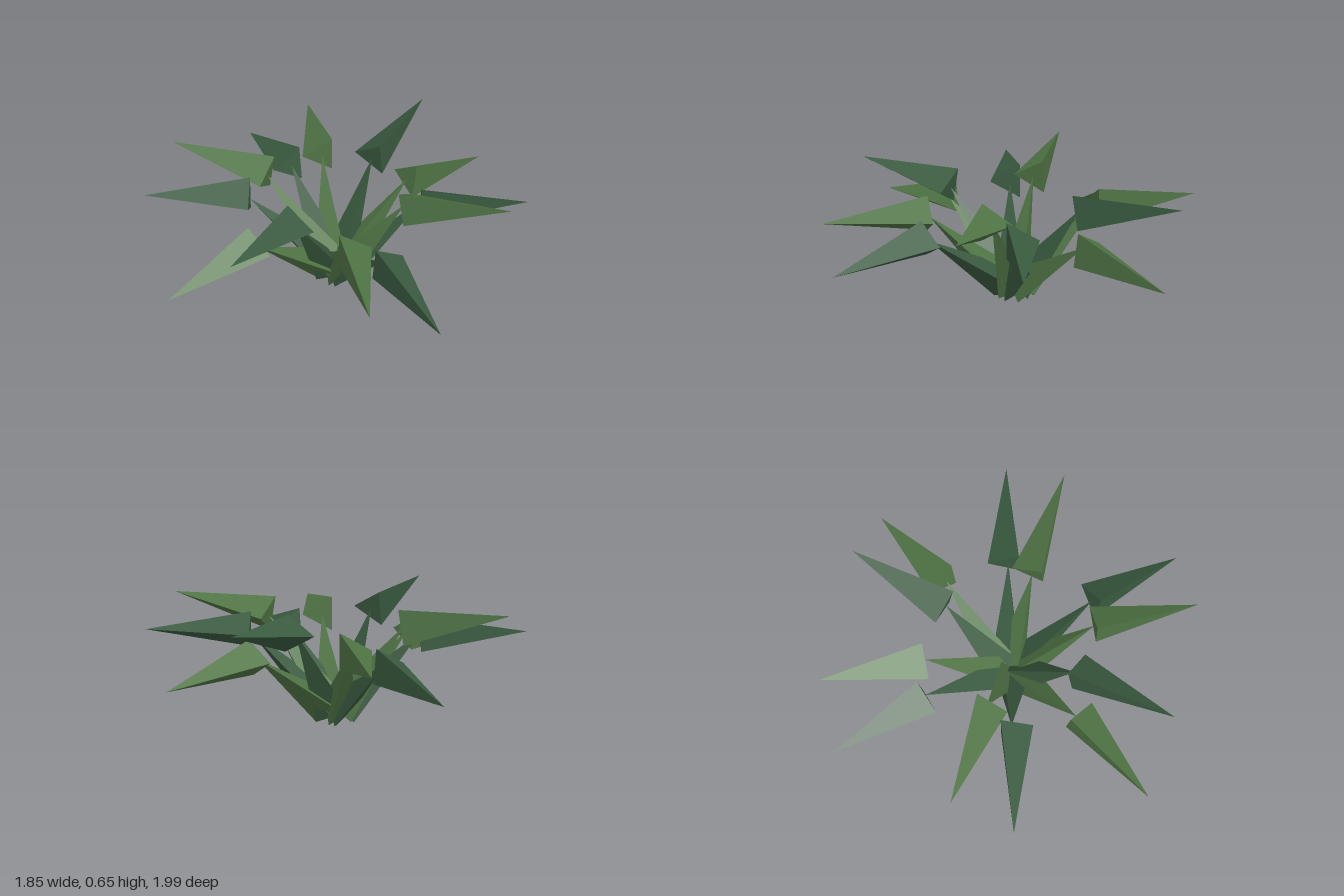
import * as THREE from 'three';

const lightGreen = new THREE.MeshStandardMaterial({ color: 0x507545 });
lightGreen.name = 'fernGreen';
const deepGreen = new THREE.MeshStandardMaterial({ color: 0x3a5b40 });
deepGreen.name = 'deepGreen';

// Three-sided spike in the xy plane, from a base centre to a tip, with faceted normals
function spike(name, radius, base, tip, material) {
  const dx = tip[0] - base[0], dy = tip[1] - base[1];
  const length = Math.hypot(dx, dy);
  const geometry = new THREE.ConeGeometry(radius, length, 3, 1)
    .translate(0, length / 2, 0)
    .rotateY(Math.PI)
    .rotateZ(Math.atan2(dy, dx) - Math.PI / 2)
    .translate(base[0], base[1], 0)
    .toNonIndexed();
  geometry.computeVertexNormals();
  const mesh = new THREE.Mesh(geometry, material);
  mesh.name = name;
  return mesh;
}

// Joint and tip (outward distance, height) for each steepness
const tiers = {
  steep: { joint: [0.38, 0.56], tip: [0.938, 0.653] },
  middle: { joint: [0.45, 0.5], tip: [1.007, 0.507] },
  shallow: { joint: [0.51, 0.43], tip: [1.057, 0.352] },
};
const root = [0.035, 0.08];

// A rising lower leaf, and a level outer leaf starting at its point
function frond(tier, degrees, material) {
  const group = new THREE.Group();
  group.name = 'frond';
  group.add(
    spike('lowerLeaf', 0.105, root, tier.joint, material),
    spike('outerLeaf', 0.11, tier.joint, tier.tip, material),
  );
  group.rotation.y = -THREE.MathUtils.degToRad(degrees);
  return group;
}

export function createModel() {
  const model = new THREE.Group();
  model.name = 'plant';
  const deepOrder = ['shallow', 'steep', 'middle'];
  const lightOrder = ['middle', 'shallow', 'steep'];
  // Two rings of six fronds, the second turned by a third of a step
  for (let i = 0; i < 6; i++) {
    model.add(frond(tiers[deepOrder[i % 3]], 30.7 + i * 60, deepGreen));
    model.add(frond(tiers[lightOrder[i % 3]], 49.8 + i * 60, lightGreen));
  }
  return model;
}
